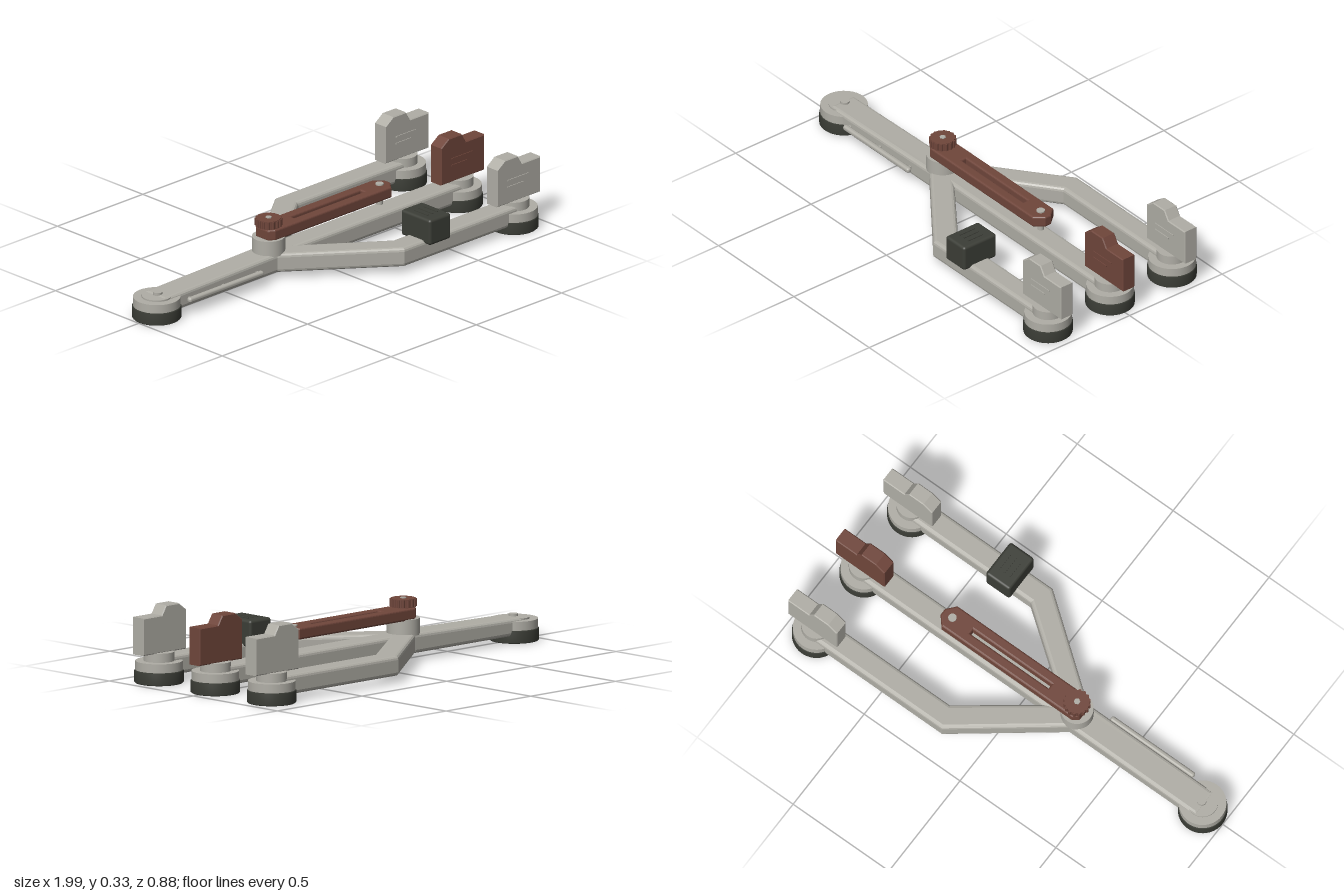
import * as THREE from 'three';
import { RoundedBoxGeometry } from 'three/addons/geometries/RoundedBoxGeometry.js';

const material = (name, color) => {
  const m = new THREE.MeshStandardMaterial({ color });
  m.name = name;
  return m;
};

export function createModel() {
  const model = new THREE.Group();
  const grey = material('warm grey', 0xb0aea6);
  const dark = material('dark rubber', 0x3c3e37);
  const brown = material('red brown', 0x70463b);

  const add = (name, geometry, mat, x = 0, y = 0, z = 0, parent = model) => {
    const mesh = new THREE.Mesh(geometry, mat);
    mesh.name = name;
    mesh.position.set(x, y, z);
    parent.add(mesh);
    return mesh;
  };
  const cylinder = (r, h, n = 40) => new THREE.CylinderGeometry(r, r, h, n);
  const toShape = (points) => new THREE.Shape(points.map(([x, y]) => new THREE.Vector2(x, y)));
  // Extrudes a plan outline (x, -z) upward with softened edges
  const slab = (shape, height, bevel) => new THREE.ExtrudeGeometry(shape, {
    depth: height - 2 * bevel, bevelThickness: bevel, bevelSize: bevel,
    bevelOffset: -bevel, bevelSegments: 3, curveSegments: 16,
  }).translate(0, 0, bevel).rotateX(-Math.PI / 2);

  // Beams: rear beam with sloped tip, centre beam and two bent side beams
  const tail = slab(toShape([[-0.91, -0.065], [-0.25, -0.065], [-0.22, -0.04],
    [-0.22, 0.04], [-0.25, 0.065], [-0.91, 0.065]]), 0.085, 0.016);
  const p = tail.attributes.position;
  for (let i = 0; i < p.count; i++) {
    if (p.getX(i) < -0.85 && p.getY(i) > 0.06) p.setY(i, p.getY(i) - 0.012);
  }
  tail.computeVertexNormals();
  add('rearBeam', tail, grey, 0, 0.03, 0);
  add('centreBeam', slab(toShape([[-0.25, -0.055], [0.87, -0.055], [0.87, 0.055], [-0.25, 0.055]]),
    0.085, 0.016), grey, 0, 0.03, 0);
  for (const s of [1, -1]) {
    const outline = [[-0.273, 0.046], [0.176, 0.39], [0.87, 0.39],
      [0.87, 0.284], [0.212, 0.284], [-0.2, -0.025]];
    add(s > 0 ? 'backBeam' : 'frontBeam', slab(toShape(outline.map(([x, y]) => [x, s * y])),
      0.085, 0.016), grey, 0, 0.03, 0);
  }

  // Feet: rubber pad, disc and collar
  const foot = (x, z, collarTop) => {
    const g = new THREE.Group();
    g.name = 'foot';
    g.position.set(x, 0, z);
    model.add(g);
    const pad = [[0, 0], [0.1, 0], [0.104, 0.004], [0.104, 0.051], [0.101, 0.055], [0, 0.055]];
    add('footPad', new THREE.LatheGeometry(pad.map(([a, b]) => new THREE.Vector2(a, b)), 48), dark, 0, 0, 0, g);
    add('footDisc', cylinder(0.1, 0.04), grey, 0, 0.073, 0, g);
    add('footCollar', cylinder(0.065, collarTop - 0.09), grey, 0, (collarTop + 0.09) / 2, 0, g);
  };
  foot(-0.895, 0, 0.1);
  add('rearScrew', cylinder(0.02, 0.03, 20), grey, -0.89, 0.098, 0);

  // Stepped upright blocks on the right-hand feet
  const profile = [[0.74, 0.13], [0.995, 0.13], [0.995, 0.29], [0.885, 0.29],
    [0.86, 0.33], [0.785, 0.33], [0.74, 0.298]];
  for (const z of [-0.335, 0, 0.335]) {
    foot(0.87, z, 0.132);
    const mat = z === 0 ? brown : grey;
    const g = new THREE.Group();
    g.name = 'uprightBlock';
    g.position.z = z;
    model.add(g);
    add('blockBody', new THREE.ExtrudeGeometry(toShape(profile), {
      depth: 0.058, bevelThickness: 0.004, bevelSize: 0.004, bevelOffset: -0.004, bevelSegments: 1,
    }), mat, 0, 0, -0.029, g);
    add('upperRib', new THREE.BoxGeometry(0.12, 0.006, 0.005), mat, 0.86, 0.235, 0.034, g);
    add('lowerRib', new THREE.BoxGeometry(0.09, 0.006, 0.005), mat, 0.845, 0.205, 0.034, g);
  }

  // Side rail on the front of the rear beam
  add('sideRail', new RoundedBoxGeometry(0.435, 0.024, 0.024, 3, 0.01), grey, -0.573, 0.067, 0.083);
  for (const x of [-0.77, -0.573, -0.375]) {
    add('railMount', new THREE.BoxGeometry(0.012, 0.014, 0.03), grey, x, 0.067, 0.07);
  }

  // Pivot post and slotted swing arm
  add('pivotPost', cylinder(0.07, 0.07), grey, -0.24, 0.143, 0);
  const arm = toShape([[-0.255, -0.056], [0.425, -0.056], [0.46, -0.015], [0.46, 0.015],
    [0.425, 0.056], [-0.255, 0.056], [-0.28, 0.035], [-0.28, -0.035]]);
  arm.holes.push(new THREE.Path([[-0.1, -0.011], [-0.1, 0.011], [0.31, 0.011], [0.31, -0.011]]
    .map(([x, y]) => new THREE.Vector2(x, y))));
  add('swingArm', slab(arm, 0.05, 0.008), brown, 0, 0.173, 0);
  add('armPin', cylinder(0.014, 0.092, 20), grey, 0.41, 0.18, 0);
  add('armPinHead', cylinder(0.018, 0.007, 20), grey, 0.41, 0.225, 0);

  // Ribbed knob
  const knob = new THREE.Group();
  knob.name = 'knob';
  knob.position.set(-0.24, 0, 0);
  model.add(knob);
  add('knobNeck', cylinder(0.035, 0.012), brown, 0, 0.224, 0, knob);
  add('knobBody', cylinder(0.052, 0.036), brown, 0, 0.243, 0, knob);
  for (let i = 0; i < 16; i++) {
    const a = (i / 16) * Math.PI * 2;
    add('knobRib', cylinder(0.007, 0.032, 8), brown, 0.051 * Math.cos(a), 0.243, 0.051 * Math.sin(a), knob);
  }
  add('knobScrew', cylinder(0.014, 0.004, 6), grey, 0, 0.262, 0, knob);

  // Dark clamp block with grip ribs on the front beam
  add('clampBlock', new RoundedBoxGeometry(0.125, 0.115, 0.177, 3, 0.012), dark, 0.357, 0.1575, 0.333);
  for (let i = -1; i <= 1; i++) {
    add('clampRib', new THREE.BoxGeometry(0.007, 0.004, 0.08), dark, 0.357 + i * 0.028, 0.216, 0.333);
  }
  return model;
}
